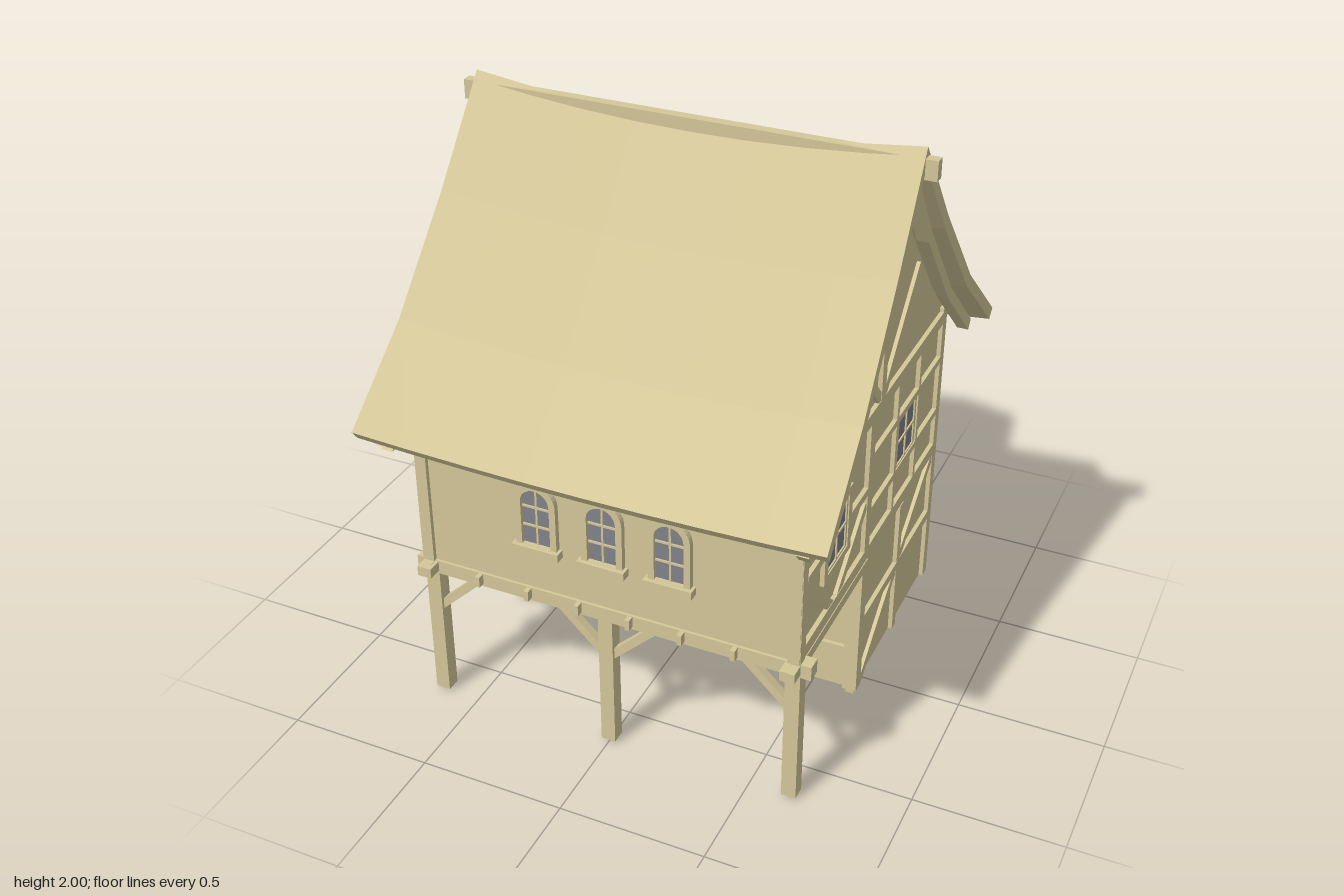
import * as THREE from 'three';

const tan = new THREE.MeshStandardMaterial({ color: 0xd4c799, flatShading: true, side: THREE.DoubleSide });
const glass = new THREE.MeshStandardMaterial({ color: 0x82828a });

function add(parent, name, geo, x = 0, y = 0, z = 0, mat = tan) {
  const m = new THREE.Mesh(geo, mat);
  m.name = name;
  m.position.set(x, y, z);
  parent.add(m);
  return m;
}
const box = (p, name, w, h, d, x, y, z, mat) => add(p, name, new THREE.BoxGeometry(w, h, d), x, y, z, mat);

// Timber lying on a wall between two wall points; local z points outwards
function timber(wall, [u1, v1, u2, v2, w = 0.035], depth = 0.03) {
  const slanted = u1 !== u2 && v1 !== v2;
  const m = box(wall, 'timber', Math.hypot(u2 - u1, v2 - v1), w, slanted ? depth - 0.004 : depth,
    (u1 + u2) / 2, (v1 + v2) / 2, 0);
  m.rotation.z = Math.atan2(v2 - v1, u2 - u1);
}
const timbers = (wall, list) => list.forEach(t => timber(wall, t));

// Flat outline pushed out along z
function plate(points, depth) {
  const s = new THREE.Shape(points.map(p => new THREE.Vector2(...p)));
  return new THREE.ExtrudeGeometry(s, { depth, bevelEnabled: false });
}

function wallGroup(house, name, x, z, turn) {
  const g = new THREE.Group();
  g.name = name;
  g.position.set(x, 0, z);
  g.rotation.y = turn;
  house.add(g);
  return g;
}

// Rectangular window with glazing bars
function squareWindow(wall, u, v, w, h, cols, rows) {
  box(wall, 'windowGlass', w, h, 0.01, u, v, 0.001, glass);
  for (let i = 0; i <= cols; i++) {
    const t = i % cols === 0 ? 0.016 : 0.008;
    box(wall, 'glazingBar', t, h, 0.02, u - w / 2 + w * i / cols, v, 0.001);
  }
  for (let i = 0; i <= rows; i++) {
    const t = i % rows === 0 ? 0.016 : 0.008;
    box(wall, 'glazingBar', w, t, 0.02, u, v - h / 2 + h * i / rows, 0.001);
  }
}

// Round-headed outline of half width r, from base to the top of the arch
function archPath(path, u, base, top, r) {
  path.moveTo(u - r, base);
  path.lineTo(u + r, base);
  path.lineTo(u + r, top - r);
  path.absarc(u, top - r, r, 0, Math.PI, false);
  path.lineTo(u - r, base);
  return path;
}
function archFrame(wall, name, u, base, top, r, t, depth) {
  const s = archPath(new THREE.Shape(), u, base, top + t, r + t);
  s.holes.push(archPath(new THREE.Path(), u, base + 0.001, top, r));
  add(wall, name, new THREE.ExtrudeGeometry(s, { depth, bevelEnabled: false, curveSegments: 8 }));
}
const archFill = (u, base, top, r, d) => new THREE.ExtrudeGeometry(
  archPath(new THREE.Shape(), u, base, top, r), { depth: d, bevelEnabled: false, curveSegments: 8 });

// Closed shell through equal rings; each ring is an upper line followed by the lower line reversed
function loft(rings) {
  const n = rings[0].length, idx = [];
  const quad = (a, b, c, d) => idx.push(a, b, c, a, c, d);
  for (let r = 0; r < rings.length - 1; r++)
    for (let k = 0; k < n; k++) {
      const a = r * n + k, b = r * n + (k + 1) % n;
      quad(a, b, b + n, a + n);
    }
  const last = (rings.length - 1) * n;
  for (let k = 0; k < n / 2 - 1; k++) {
    quad(k, n - 1 - k, n - 2 - k, k + 1);
    quad(last + k, last + k + 1, last + n - 2 - k, last + n - 1 - k);
  }
  const g = new THREE.BufferGeometry();
  g.setAttribute('position', new THREE.Float32BufferAttribute(rings.flat(2), 3));
  g.setIndex(idx);
  g.computeVertexNormals();
  return g;
}

// Half profile of the roof: distance from the ridge, height
const PROFILE = [[0, 2], [0.24, 1.68], [0.52, 1.35], [0.81, 1.09]];
const mirrored = half => [...half.slice(1).reverse().map(([z, y]) => [-z, y]), ...half];

function mainRoof(house) {
  const upper = mirrored(PROFILE);
  const lower = mirrored(PROFILE.map(([z, y]) => z ? [z - 0.025, y - 0.033] : [0, y - 0.06]));
  const rings = [];
  for (let i = 0; i <= 8; i++) {
    const s = i / 4 - 1, sag = 1 - s * s;
    rings.push([...upper, ...lower.slice().reverse()].map(([z, y]) => {
      const f = Math.abs(z) / 0.81;
      return [s * (0.75 + 0.035 * f), y - sag * (0.053 - 0.018 * f), z * (1 - 0.025 * sag * f)];
    }));
  }
  add(house, 'roof', loft(rings));
  box(house, 'ridgeBeam', 1.58, 0.065, 0.035, 0, 1.935, 0).scale.y = 1;
  // Curved boards under the roof edge on both gables
  const top = mirrored(PROFILE.map(([z, y]) => z ? [z - 0.03, y - 0.045] : [0, y - 0.07]));
  const low = mirrored(PROFILE.map(([z, y]) => z ? [z - 0.055, y - 0.075] : [0, y - 0.12]));
  for (const x of [0.68, -0.72]) {
    const b = add(house, 'gableBoard', plate([...top, ...low.reverse()], 0.04), x, 0, 0);
    b.rotation.y = Math.PI / 2;
  }
}

function dormer(house) {
  const g = new THREE.Group();
  g.name = 'dormer';
  house.add(g);
  const rings = [[-0.03, 1.91, -0.11, 1.835], [-0.35, 1.8, -0.36, 1.73], [-0.615, 1.68, -0.62, 1.613]]
    .map(([zr, yr, ze, ye]) => [[-0.245, ye, ze], [0, yr, zr], [0.245, ye, ze],
      [0.245, ye - 0.02, ze], [0, yr - 0.022, zr], [-0.245, ye - 0.02, ze]]);
  add(g, 'dormerRoof', loft(rings));
  const body = [-0.575, -0.35, -0.15].map((z, i) => {
    const e = [1.612, 1.715, 1.8][i], r = [1.675, 1.777, 1.85][i];
    return [[-0.215, e, z], [0, r, z], [0.215, e, z], [0.215, 1.27, z], [0, 1.27, z], [-0.215, 1.27, z]];
  });
  add(g, 'dormerBody', loft(body));
  for (const x of [-0.205, 0.205]) box(g, 'dormerPost', 0.03, 0.34, 0.03, x, 1.44, -0.57);
  add(g, 'roundWindowFrame', new THREE.TorusGeometry(0.068, 0.011, 6, 20), 0, 1.5, -0.577);
  add(g, 'roundWindowGlass', new THREE.CylinderGeometry(0.066, 0.066, 0.012, 20), 0, 1.5, -0.575, glass)
    .rotation.x = Math.PI / 2;
}

// Gable side; s turns "towards the back" into the wall's own direction
function sideWall(house, name, s) {
  const w = wallGroup(house, name, s * 0.65, 0, s * Math.PI / 2);
  const half = [[0, 1.88], [0.23, 1.61], [0.5, 1.29], [0.65, 1.15], [0.65, 0.55]];
  add(w, 'gableWall', plate(mirrored(half), 0.02), 0, 0, -0.02);
  box(w, 'lowerWall', 0.74, 0.53, 0.02, s * 0.28, 0.285, -0.01);
  const lower = s > 0
    ? [[-0.06, 0.03, 0.27, 0.28], [0.31, 0.32, 0.63, 0.55], [0.29, 0.02, 0.29, 0.55], [-0.08, 0.295, 0.65, 0.295]]
    : [[0.15, 0.02, 0.15, 0.55], [0.4, 0.02, 0.4, 0.55], [-0.08, 0.42, 0.65, 0.42], [0.15, 0.17, 0.4, 0.17],
      [-0.06, 0.03, 0.14, 0.4], [0.64, 0.03, 0.42, 0.4]];
  timbers(w, [
    // ground floor
    [-0.08, 0.02, -0.08, 0.55, 0.045], [0.643, 0.02, 0.643, 1.15, 0.04], ...lower,
    // upper floor
    [-0.66, 0.58, 0.66, 0.58, 0.045], [-0.65, 1.112, 0.65, 1.112, 0.045], [-0.643, 0.55, -0.643, 1.15, 0.04],
    [-0.078, 0.58, -0.078, 1.11, 0.045], [0.175, 0.58, 0.175, 1.11, 0.02], [0.4, 0.58, 0.4, 1.11, 0.02],
    [-0.07, 0.948, 0.65, 0.948, 0.025], [-0.07, 0.737, 0.65, 0.737, 0.025],
    [-0.365, 0.96, -0.365, 1.11, 0.03], [-0.62, 0.84, -0.47, 0.84, 0.03], [-0.26, 0.84, -0.1, 0.84, 0.03],
    [-0.48, 0.735, -0.25, 0.735, 0.025], [-0.48, 0.955, -0.25, 0.955, 0.025],
    [-0.465, 0.73, -0.465, 0.96, 0.03], [-0.265, 0.73, -0.265, 0.96, 0.03],
    [-0.63, 0.79, -0.39, 0.59], [-0.1, 0.79, -0.34, 0.59],
    // gable
    [0, 1.11, 0, 1.86, 0.04], [0.01, 1.13, 0.32, 1.46], [-0.01, 1.13, -0.32, 1.46],
  ].map(t => s > 0 ? t : [-t[0], t[1], -t[2], t[3], t[4]]));
  squareWindow(w, s * 0.288, 0.842, 0.18, 0.19, 2, 2);
  squareWindow(w, s * -0.365, 0.842, 0.165, 0.19, 2, 2);
  if (s < 0) squareWindow(w, -0.275, 0.295, 0.2, 0.21, 2, 3);
}

function backWall(house) {
  const w = wallGroup(house, 'backWall', 0, -0.65, Math.PI);
  box(w, 'wallPanel', 1.3, 1.1, 0.02, 0, 0.57, -0.01);
  timbers(w, [[-0.65, 0.56, 0.65, 0.56, 0.05], [-0.65, 0.735, 0.65, 0.735, 0.025],
    [-0.65, 0.95, 0.65, 0.95, 0.025], [-0.65, 1.1, 0.65, 1.1], [0, 0.55, 0, 1.1],
    [-0.14, 0.19, 0.14, 0.19, 0.03], [-0.14, 0.43, 0.14, 0.43, 0.03]]);
  for (const s of [-1, 1]) {
    timbers(w, [[s * 0.643, 0.02, s * 0.643, 1.1, 0.04], [s * 0.14, 0.02, s * 0.14, 0.55],
      [s * 0.62, 0.03, s * 0.16, 0.54], [s * 0.62, 0.54, s * 0.16, 0.03],
      [s * 0.22, 0.58, s * 0.22, 1.1, 0.025], [s * 0.45, 0.58, s * 0.45, 1.1, 0.025]]);
    squareWindow(w, s * 0.335, 0.842, 0.19, 0.19, 3, 3);
  }
  squareWindow(w, 0, 0.31, 0.21, 0.2, 3, 3);
}

function frontWalls(house) {
  const up = wallGroup(house, 'upperFrontWall', 0, 0.65, 0);
  box(up, 'wallPanel', 1.3, 0.57, 0.02, 0, 0.835, -0.01);
  timbers(up, [[-0.643, 0.55, -0.643, 1.12, 0.04], [0.643, 0.55, 0.643, 1.12, 0.04]]);
  for (const u of [-0.23, 0, 0.23]) {
    add(up, 'archedGlass', archFill(u, 0.73, 0.94, 0.052, 0.004), 0, 0, 0.001, glass);
    archFrame(up, 'archedFrame', u, 0.73, 0.94, 0.05, 0.022, 0.02);
    box(up, 'windowSill', 0.165, 0.028, 0.04, u, 0.716, 0.015);
    box(up, 'glazingBar', 0.007, 0.21, 0.012, u, 0.835, 0.004);
    for (const v of [0.8, 0.87]) box(up, 'glazingBar', 0.1, 0.007, 0.012, u, v, 0.004);
  }
  const low = wallGroup(house, 'lowerFrontWall', 0, 0.09, 0);
  box(low, 'wallPanel', 1.3, 0.53, 0.02, 0, 0.285, -0.01);
  timbers(low, [[-0.63, 0.02, -0.63, 0.55, 0.05], [0.64, 0.02, 0.64, 0.55, 0.05], [-0.33, 0.02, -0.33, 0.55, 0.03],
    [-0.13, 0.02, -0.13, 0.55, 0.03], [0, 0.02, 0, 0.55, 0.05], [0.43, 0.02, 0.43, 0.34, 0.025],
    [-0.65, 0.395, 0.17, 0.395, 0.03], [-0.65, 0.185, 0.15, 0.185, 0.025], [0.42, 0.395, 0.65, 0.395, 0.03],
    [0.43, 0.185, 0.65, 0.185, 0.025], [-0.61, 0.16, -0.35, 0.5], [-0.61, 0.03, -0.5, 0.18],
    [-0.12, 0.2, 0.0, 0.03], [0.01, 0.19, 0.14, 0.03], [0.02, 0.2, 0.15, 0.38], [0.45, 0.52, 0.62, 0.38]]);
  squareWindow(low, -0.23, 0.29, 0.17, 0.18, 3, 3);
  add(low, 'door', archFill(0.29, 0.02, 0.435, 0.115, 0.006));
  archFrame(low, 'doorFrame', 0.29, 0.02, 0.435, 0.115, 0.035, 0.02);
}

// Overhang: floor, joists, beams, posts and braces
function overhang(house) {
  const g = new THREE.Group();
  g.name = 'overhang';
  house.add(g);
  box(g, 'upperFloor', 1.3, 0.02, 1.3, 0, 0.56, 0);
  box(g, 'frontBeam', 1.39, 0.05, 0.05, 0.005, 0.528, 0.635);
  for (let i = 0; i < 8; i++)
    box(g, 'joist', 0.016, 0.038, 0.61, -0.63 + i * 0.18, 0.533, 0.38);
  for (const x of [-0.635, 0, 0.64]) {
    box(g, 'post', 0.05, 0.5, 0.05, x, 0.26, 0.635);
    if (x) box(g, 'sideBeam', 0.05, 0.036, 0.62, x, 0.533, 0.4);
    for (const s of [-1, 1]) {
      if (s * x > 0) continue;
      const b = box(g, 'brace', 0.23, 0.028, 0.028, x + s * 0.085, 0.43, 0.635);
      b.rotation.z = s * 0.77;
    }
  }
}

export function createModel() {
  const house = new THREE.Group();
  house.name = 'timberHouse';
  sideWall(house, 'rightWall', 1);
  sideWall(house, 'leftWall', -1);
  backWall(house);
  frontWalls(house);
  overhang(house);
  mainRoof(house);
  dormer(house);
  // foot stones under the outer corners
  for (const x of [-0.64, 0.64]) box(house, 'footStone', 0.03, 0.02, 0.03, x, 0.01, 0.08);
  return house;
}
